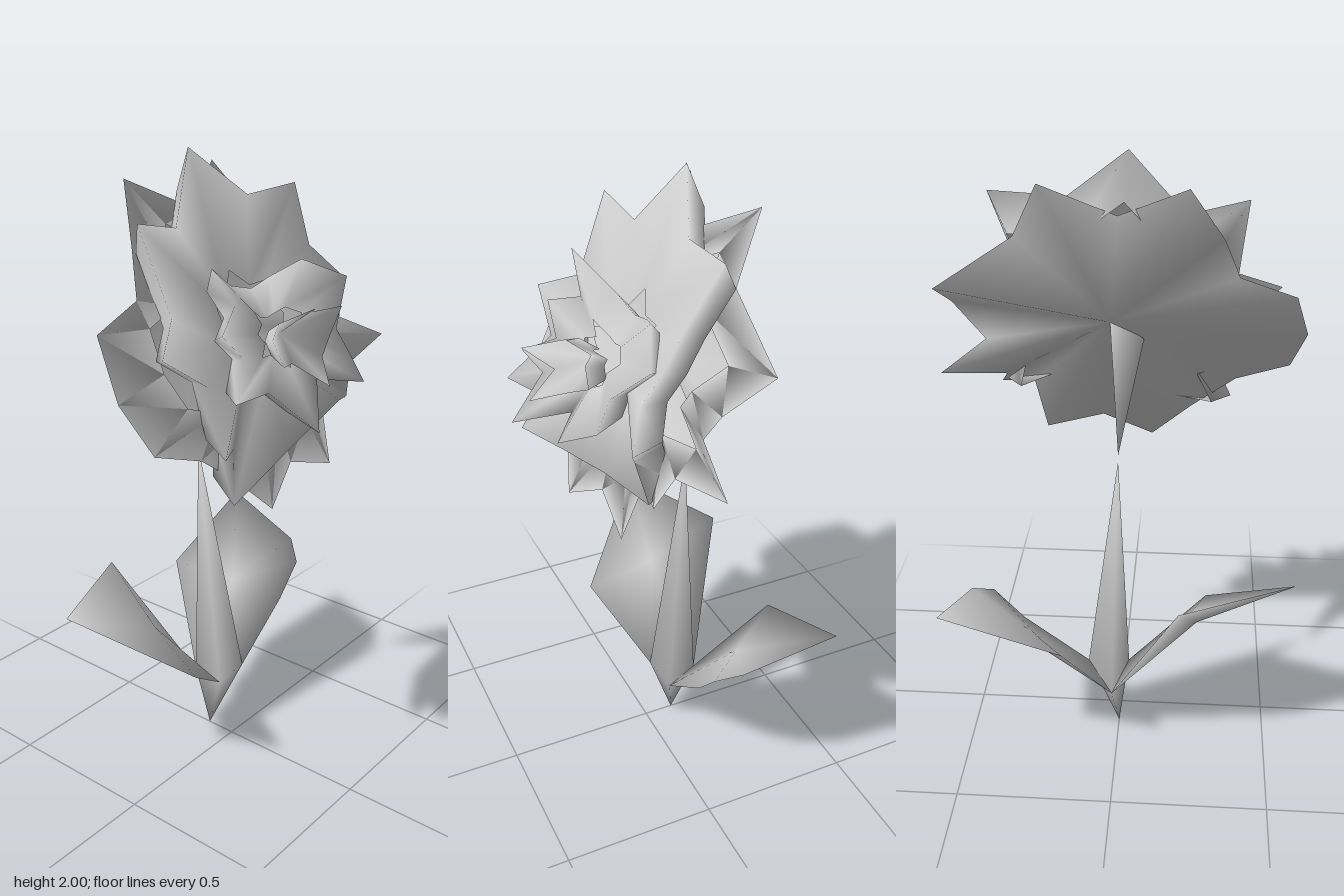
import * as THREE from 'three';
import { mergeVertices } from 'three/addons/utils/BufferGeometryUtils.js';

const grey = new THREE.MeshStandardMaterial({ color: 0xcccccc, side: THREE.DoubleSide });
grey.name = 'pale grey';

function smoothMesh(name, points, index) {
  let g = new THREE.BufferGeometry();
  g.setAttribute('position', new THREE.Float32BufferAttribute(points.flat(), 3));
  g.setIndex(index);
  g = mergeVertices(g, 1e-4);
  g.computeVertexNormals();
  const mesh = new THREE.Mesh(g, grey);
  mesh.name = name;
  return mesh;
}

// Ring of a petal layer: the rim drawn in towards a centre and pushed along the flower's axis
const drawIn = (rim, centre, t, push) => rim.map(([x, y, z]) => [
  centre[0] + (x - centre[0]) * t,
  centre[1] + (y - centre[1]) * t + push * 0.39,
  centre[2] + (z - centre[2]) * t + push * 0.92,
]);

// Skin through rings of equal length, from the back to the front
function skin(name, rings) {
  const n = rings[0].length, index = [];
  for (let r = 0; r < rings.length - 1; r++) {
    for (let i = 0; i < n; i++) {
      const a = r * n + i, b = r * n + (i + 1) % n;
      index.push(a, b, a + n, b, b + n, a + n);
    }
  }
  return smoothMesh(name, rings.flat(), index);
}

// Petal layer: outer foot, jagged rim, inner floor; each foot or floor is [centre, t, push]
const petals = (name, rim, foot, floor) =>
  skin(name, [drawIn(rim, ...foot), rim, drawIn(rim, ...floor)]);

// Solid pointed at both ends around a loop of points
function spindle(name, bottom, loop, top) {
  const n = loop.length, index = [];
  for (let i = 0; i < n; i++) {
    const a = 2 + i, b = 2 + (i + 1) % n;
    index.push(0, a, b, 1, b, a);
  }
  return smoothMesh(name, [bottom, top, ...loop], index);
}

export function createModel() {
  const model = new THREE.Group();
  model.name = 'flower';

  // Layers of jagged petals, tilted upwards; rims run clockwise from the top
  const head = new THREE.Group();
  head.name = 'flowerHead';
  const back = [0.03, 1.47, -0.05], core = [0, 1.45, 0.03], heart = [0.03, 1.47, 0.13];
  head.add(
    petals('outerPetals', [
      [0, 1.82, -0.15], [0.21, 1.93, -0.25], [0.30, 1.75, -0.13], [0.54, 1.59, -0.13],
      [0.52, 1.50, 0.02], [0.42, 1.38, 0.02], [0.57, 1.26, 0.02], [0.37, 1.24, 0.08],
      [0.40, 1.18, 0.16], [0.29, 1.19, 0.14], [0.26, 1.00, 0.20], [0.07, 1.06, 0.18],
      [-0.09, 0.97, 0.23], [-0.22, 1.10, 0.18], [-0.36, 1.20, 0.18], [-0.53, 1.26, 0.16],
      [-0.57, 1.40, 0.07], [-0.52, 1.56, -0.05], [-0.35, 1.62, -0.06], [-0.30, 1.75, -0.12],
      [-0.20, 1.92, -0.24],
    ], [back, 0, 0], [back, 0.68, 0.035]),
    petals('middlePetals', [
      [-0.03, 2.00, -0.14], [0.15, 1.85, -0.06], [0.38, 1.86, -0.05], [0.34, 1.68, 0.04],
      [0.39, 1.59, 0.13], [0.33, 1.47, 0.17], [0.46, 1.40, 0.25], [0.36, 1.32, 0.20],
      [0.39, 1.19, 0.17], [0.24, 1.23, 0.24], [-0.05, 1.16, 0.26], [-0.35, 1.09, 0.29],
      [-0.29, 1.23, 0.24], [-0.41, 1.25, 0.31], [-0.33, 1.41, 0.18], [-0.49, 1.52, 0.16],
      [-0.35, 1.59, 0.07], [-0.37, 1.84, -0.03], [-0.19, 1.80, -0.05],
    ], [[0.02, 1.46, -0.01], 0.82, -0.085], [core, 0.35, 0.03]),
    // Open at the top, where the middle petals run down into the heart
    petals('innerPetals', [
      [0.03, 1.60, 0.05], [0.12, 1.62, 0.05], [0.23, 1.66, 0.09], [0.38, 1.59, 0.16],
      [0.24, 1.46, 0.22], [0.26, 1.37, 0.27], [0.19, 1.33, 0.36], [0.07, 1.35, 0.27],
      [-0.10, 1.26, 0.40], [-0.17, 1.37, 0.27], [-0.33, 1.38, 0.28], [-0.20, 1.46, 0.21],
      [-0.29, 1.55, 0.20], [-0.16, 1.60, 0.14], [-0.25, 1.72, 0.13], [-0.08, 1.63, 0.06],
    ], [core, 0.75, -0.05], [heart, 0.35, 0.01]),
    petals('heartPetals', [
      [0.05, 1.57, 0.27], [0.11, 1.54, 0.22], [0.19, 1.55, 0.27], [0.16, 1.46, 0.25],
      [0.08, 1.42, 0.28], [-0.01, 1.37, 0.37], [-0.06, 1.43, 0.27], [-0.18, 1.46, 0.33],
      [-0.10, 1.50, 0.23], [-0.03, 1.53, 0.20],
    ], [heart, 0.6, -0.03], [heart, 0, 0.03]),
    // Pointed tail under the petals
    spindle('flowerTail', [0, 1.07, -0.14],
      [[0.03, 1.47, -0.05], [0.01, 1.28, 0.03], [-0.07, 1.40, 0.0]], [0, 1.45, 0.0]),
  );

  // Stem, tapering to a point at both ends
  const stem = spindle('stem', [0, 0, -0.10], [
    [-0.03, 0.21, -0.03], [0.02, 0.18, -0.18], [0.11, 0.21, -0.04],
  ], [0, 1.05, -0.14]);

  // Two broad leaves, each with a flat underside and a shallow swelling on top
  const leftLeaf = spindle('leftLeaf', [0.275, 0.405, -0.215], [
    [0.11, 0.21, -0.04], [0.02, 0.18, -0.18], [0.16, 0.49, -0.39], [0.54, 0.63, -0.41],
    [0.49, 0.54, -0.11], [0.43, 0.49, -0.04], [0.33, 0.38, -0.04],
  ].reverse(), [0.265, 0.43, -0.21]);
  const rightLeaf = spindle('rightLeaf', [-0.26, 0.46, -0.14], [
    [-0.57, 0.65, -0.19], [-0.20, 0.64, -0.36], [0.02, 0.18, -0.18],
    [-0.03, 0.21, -0.03], [-0.29, 0.41, 0.09],
  ].reverse(), [-0.24, 0.49, -0.13]);

  model.add(head, stem, leftLeaf, rightLeaf);
  return model;
}
